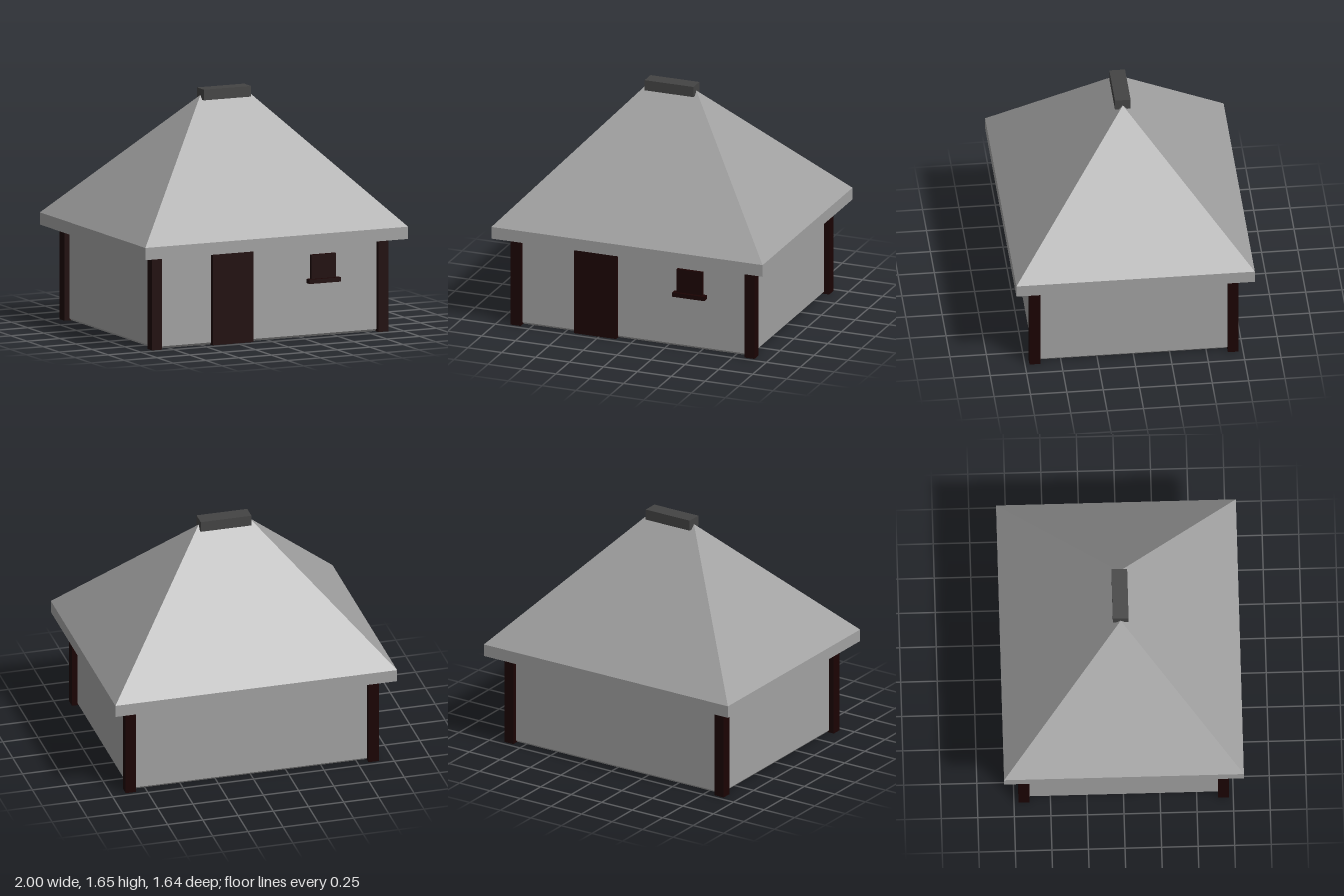
import * as THREE from 'three';

export function createModel() {
  const model = new THREE.Group();
  model.name = 'hut';

  const material = (name, color, side = THREE.FrontSide) => {
    const m = new THREE.MeshStandardMaterial({ color, side });
    m.name = name;
    return m;
  };
  const plaster = material('grey plaster', 0xa1a1a1, THREE.DoubleSide);
  const stone = material('dark stone', 0x444444);
  const timber = material('dark timber', 0x1b0303);

  const add = (name, geometry, mat) => {
    const mesh = new THREE.Mesh(geometry, mat);
    mesh.name = name;
    model.add(mesh);
    return mesh;
  };

  // Box given by its lower and upper corners
  const box = (name, mat, [x0, y0, z0], [x1, y1, z1]) => {
    const mesh = add(name, new THREE.BoxGeometry(x1 - x0, y1 - y0, z1 - z0), mat);
    mesh.position.set((x0 + x1) / 2, (y0 + y1) / 2, (z0 + z1) / 2);
  };

  // Flat-faced shell through rectangular rings of half-width, height, half-depth
  const shell = (name, mat, rings) => {
    const corners = rings.map(([x, y, z]) =>
      [[-x, z], [x, z], [x, -z], [-x, -z]].map(([cx, cz]) => new THREE.Vector3(cx, y, cz)));
    const points = [];
    // Triangles that close to a line or point are skipped
    const face = (...tri) => {
      if (new THREE.Triangle(...tri).getArea() > 1e-8) points.push(...tri);
    };
    for (let r = 0; r < rings.length - 1; r++) {
      for (let i = 0; i < 4; i++) {
        const j = (i + 1) % 4;
        face(corners[r][i], corners[r][j], corners[r + 1][j]);
        face(corners[r][i], corners[r + 1][j], corners[r + 1][i]);
      }
    }
    const geometry = new THREE.BufferGeometry().setFromPoints(points);
    geometry.computeVertexNormals();
    add(name, geometry, mat);
  };

  // Walls with a floor and a bevelled foot, running up inside the open roof
  shell('walls', plaster, [[0, 0, 0], [0.845, 0, 0.668], [0.86, 0.016, 0.683], [0.86, 0.86, 0.683]]);

  // Hipped roof with eaves band, open underneath
  shell('roof', plaster, [[1, 0.648, 0.82], [1, 0.733, 0.82], [0.18, 1.61, 0]]);

  // Corner posts
  for (const x of [-0.862, 0.862]) {
    for (const z of [-0.682, 0.682]) {
      box('cornerPost', timber, [x - 0.037, 0, z - 0.037], [x + 0.037, 0.8, z + 0.037]);
    }
  }

  // Door, window shutter and sill
  box('door', timber, [-0.433, 0, 0.66], [-0.123, 0.68, 0.712]);
  box('window', timber, [0.32, 0.4, 0.66], [0.507, 0.57, 0.705]);
  box('windowSill', timber, [0.294, 0.373, 0.66], [0.533, 0.403, 0.728]);

  // Ridge cap
  box('ridgeCap', stone, [-0.18, 1.58, -0.054], [0.18, 1.654, 0.054]);

  return model;
}
